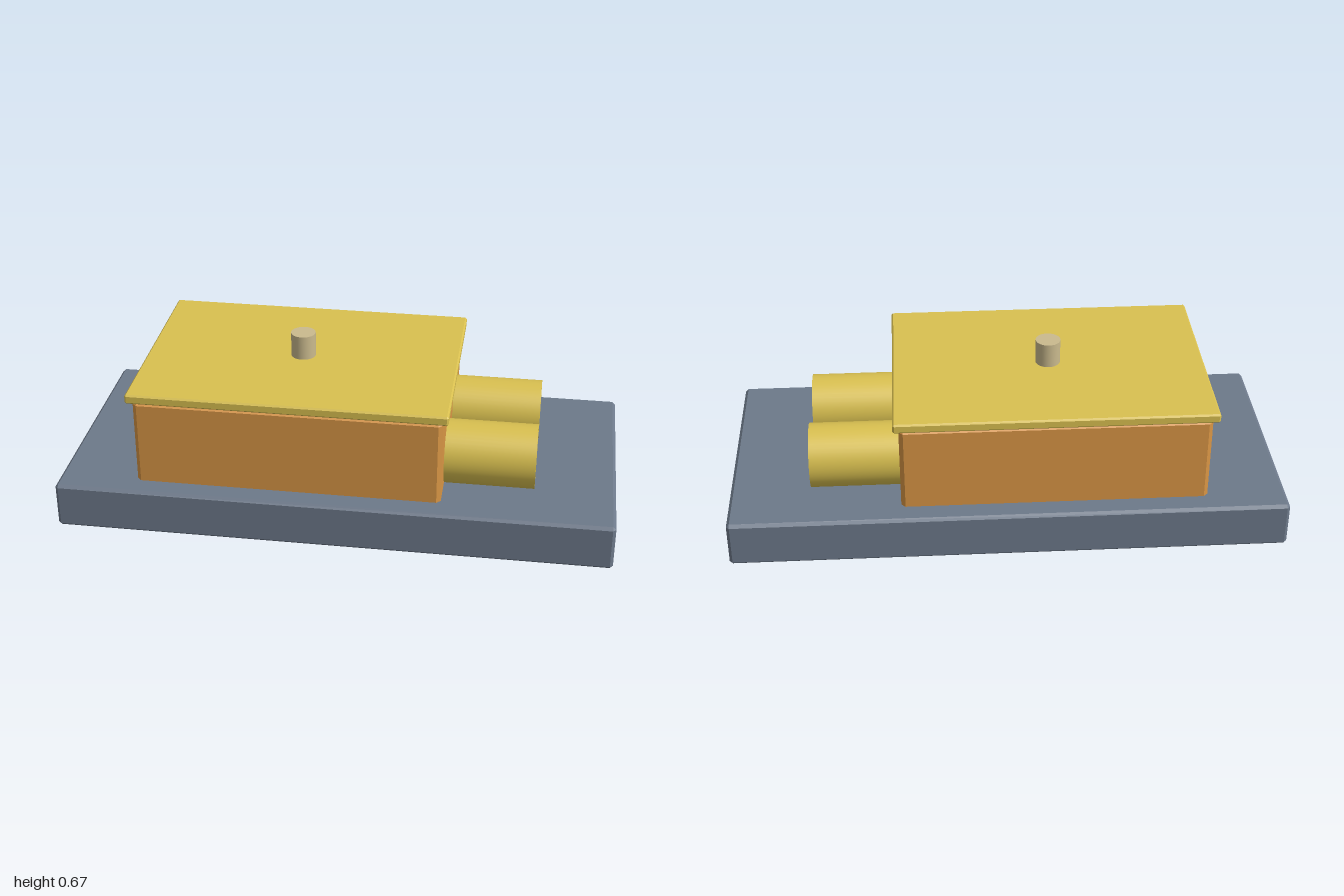
import * as THREE from 'three';
import { ConvexGeometry } from 'three/addons/geometries/ConvexGeometry.js';

const mat = (name, color) => {
  const m = new THREE.MeshStandardMaterial({ color });
  m.name = name;
  return m;
};

// Box with every edge cut by a flat chamfer c
function chamferBox(w, h, d, c) {
  const half = [w / 2, h / 2, d / 2];
  const points = [];
  for (const sx of [-1, 1]) for (const sy of [-1, 1]) for (const sz of [-1, 1]) {
    for (let axis = 0; axis < 3; axis++) {
      const [x, y, z] = half.map((v, i) => (i === axis ? v : v - c));
      points.push(new THREE.Vector3(sx * x, sy * y, sz * z));
    }
  }
  return new ConvexGeometry(points);
}

export function createModel() {
  const slate = mat('slate', 0x6d798a);
  const orange = mat('orange', 0xd99645);
  const yellow = mat('yellow', 0xd9c050);
  const tan = mat('tan', 0xcaba8e);
  const silver = mat('silver', 0xcdd0d8);

  const model = new THREE.Group();
  model.name = 'model';
  const add = (name, geometry, material, x, y, z) => {
    const mesh = new THREE.Mesh(geometry, material);
    mesh.name = name;
    mesh.position.set(x, y, z);
    model.add(mesh);
    return mesh;
  };

  // Base slab, body sunk slightly into it, and overhanging lid
  add('base', chamferBox(2, 0.17, 0.936, 0.011), slate, 0, 0.14, 0);
  add('body', chamferBox(1.1, 0.345, 0.776, 0.015), orange, -0.165, 0.3725, 0);
  add('lid', chamferBox(1.14, 0.035, 0.812, 0.006), yellow, -0.165, 0.5625, 0);

  // Knob on the lid
  add('knob', new THREE.CylinderGeometry(0.045, 0.045, 0.1, 40), tan, -0.165, 0.62, 0);

  // Pair of cylinders on the end of the body
  const cylinder = new THREE.CylinderGeometry(0.117, 0.117, 0.36, 48).rotateZ(-Math.PI / 2);
  // Small wheels, mostly hidden in the base
  const wheel = new THREE.CylinderGeometry(0.068, 0.068, 0.046, 40).rotateZ(-Math.PI / 2);
  for (const [side, s] of [['left', -1], ['right', 1]]) {
    const end = s < 0 ? 'back' : 'front';
    add(end + 'Cylinder', cylinder, yellow, 0.53, 0.317, s * 0.172);
    for (const [xSide, sx] of [['Left', 1], ['Right', -1]]) {
      add(end + xSide + 'Wheel', wheel, silver, sx * 0.937, 0.068, s * 0.336);
    }
  }
  return model;
}
